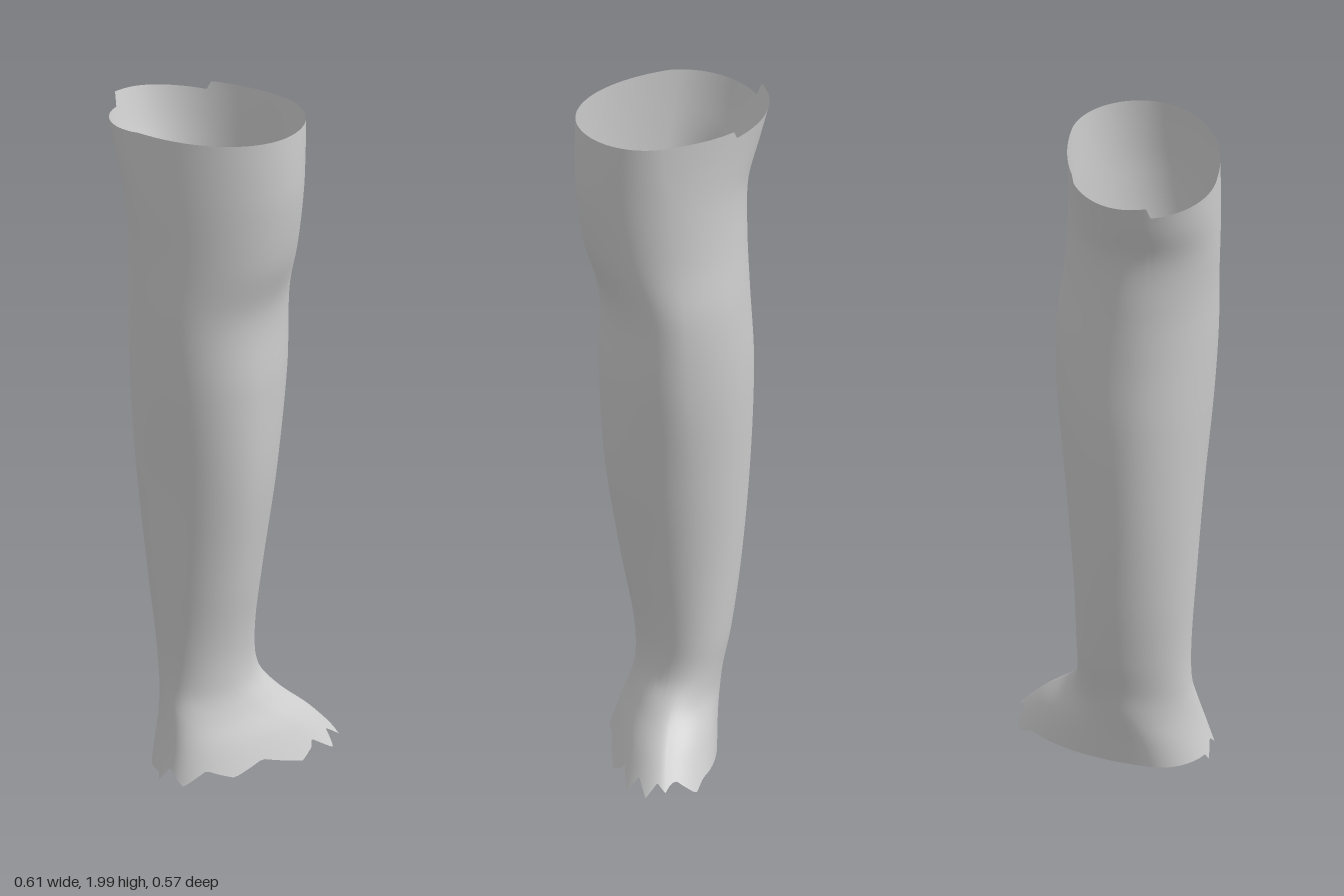
import * as THREE from 'three';

// Cross-sections, top to bottom:
// y, then xMax at z, zMax at x, xMin at z, zMin at x
const SECTIONS = [
  [2.00, 0.14, 0.09, 0.28, -0.06, -0.31, -0.08, -0.285, -0.10],
  [1.89, 0.137, 0.08, 0.283, -0.06, -0.31, -0.07, -0.253, -0.10],
  [1.77, 0.137, 0.06, 0.28, -0.06, -0.307, -0.05, -0.216, -0.09],
  [1.60, 0.145, 0.04, 0.255, -0.07, -0.299, -0.02, -0.212, -0.09],
  [1.43, 0.165, 0.03, 0.206, -0.09, -0.296, 0.00, -0.218, -0.09],
  [1.20, 0.16, 0.02, 0.205, -0.09, -0.282, 0.00, -0.228, -0.08],
  [0.90, 0.13, -0.01, 0.19, -0.09, -0.256, -0.01, -0.217, -0.07],
  [0.60, 0.105, -0.03, 0.145, -0.09, -0.235, -0.01, -0.188, -0.05],
  [0.38, 0.098, -0.03, 0.106, -0.08, -0.222, -0.01, -0.155, -0.04],
  [0.26, 0.103, 0.00, 0.104, -0.06, -0.224, -0.01, -0.132, -0.05],
  [0.19, 0.14, 0.06, 0.128, 0.00, -0.236, 0.01, -0.127, -0.07],
  [0.11, 0.225, 0.10, 0.172, 0.08, -0.254, 0.03, -0.122, -0.11],
  [0.00, 0.325, 0.13, 0.222, 0.15, -0.285, 0.04, -0.115, -0.14],
].reverse();

const COLUMNS = 128;
const ROWS = 80;

// Smooth cubic interpolation of a section at a given height
function sectionAt(y) {
  const n = SECTIONS.length;
  let i = 0;
  while (i < n - 2 && y > SECTIONS[i + 1][0]) i++;
  const a = SECTIONS[i], b = SECTIONS[i + 1];
  const before = SECTIONS[Math.max(i - 1, 0)], after = SECTIONS[Math.min(i + 2, n - 1)];
  const h = b[0] - a[0], s = THREE.MathUtils.clamp((y - a[0]) / h, 0, 1);
  return a.map((v, k) => {
    const ma = (b[k] - before[k]) / (b[0] - before[0]) * h;
    const mb = (after[k] - v) / (after[0] - a[0]) * h;
    const d = b[k] - v;
    return v + s * (ma + s * (3 * d - 2 * ma - mb + s * (ma + mb - 2 * d)));
  });
}

// Four elliptical quadrants joining the extreme points of a section
function surfacePoint(t, y) {
  const [, xMax, zRight, zMax, xFront, xMin, zLeft, zMin, xBack] = sectionAt(y);
  const c = Math.cos(t), s = Math.sin(t);
  const cx = s >= 0 ? xFront : xBack;
  const cz = c >= 0 ? zRight : zLeft;
  return [cx + Math.abs(c) * ((c >= 0 ? xMax : xMin) - cx), y,
    cz + Math.abs(s) * ((s >= 0 ? zMax : zMin) - cz)];
}

// Upper rim: a raised, sloping flap at the back between two sharp steps
function topEdge(t) {
  const start = 4.43, end = 5.62;
  if (t >= start && t < end) return THREE.MathUtils.lerp(2, 1.965, (t - start) / (end - start));
  if (t < start && t > 3.1) return THREE.MathUtils.lerp(1.988, 1.96, (t - 3.1) / (start - 3.1));
  return 1.99;
}

// Lower rim: torn teeth round the front and sides, smooth at the back
function bottomEdge(j) {
  const t = j / COLUMNS * Math.PI * 2;
  if (t > 3.5 && t < 5.7) return 0.03;
  const tooth = Math.floor(j / 6), along = (j % 6) / 5;
  const depth = 0.02 + 0.022 * Math.abs(Math.sin(tooth * 12.99));
  return 0.052 - depth * (tooth % 2 ? along : 1 - along);
}

function shellGeometry() {
  const positions = [], index = [];
  for (let i = 0; i <= ROWS; i++) {
    for (let j = 0; j < COLUMNS; j++) {
      const t = j / COLUMNS * Math.PI * 2;
      // rows are packed closer towards the foot
      const v = Math.pow(i / ROWS, 1.4);
      positions.push(...surfacePoint(t, THREE.MathUtils.lerp(bottomEdge(j), topEdge(t), v)));
      if (i === ROWS) continue;
      const next = (j + 1) % COLUMNS;
      const a = i * COLUMNS + j, b = i * COLUMNS + next;
      index.push(a, a + COLUMNS, b, b, a + COLUMNS, b + COLUMNS);
    }
  }
  const geometry = new THREE.BufferGeometry();
  geometry.setAttribute('position', new THREE.Float32BufferAttribute(positions, 3));
  geometry.setIndex(index);
  geometry.computeVertexNormals();
  return geometry;
}

export function createModel() {
  const group = new THREE.Group();
  group.name = 'lowerLeg';
  const grey = new THREE.MeshStandardMaterial({ color: 0xcccccc, side: THREE.DoubleSide });
  grey.name = 'lightGrey';
  // Open shell from above the knee to the torn edge below the ankle
  const shell = new THREE.Mesh(shellGeometry(), grey);
  shell.name = 'legShell';
  group.add(shell);
  return group;
}
